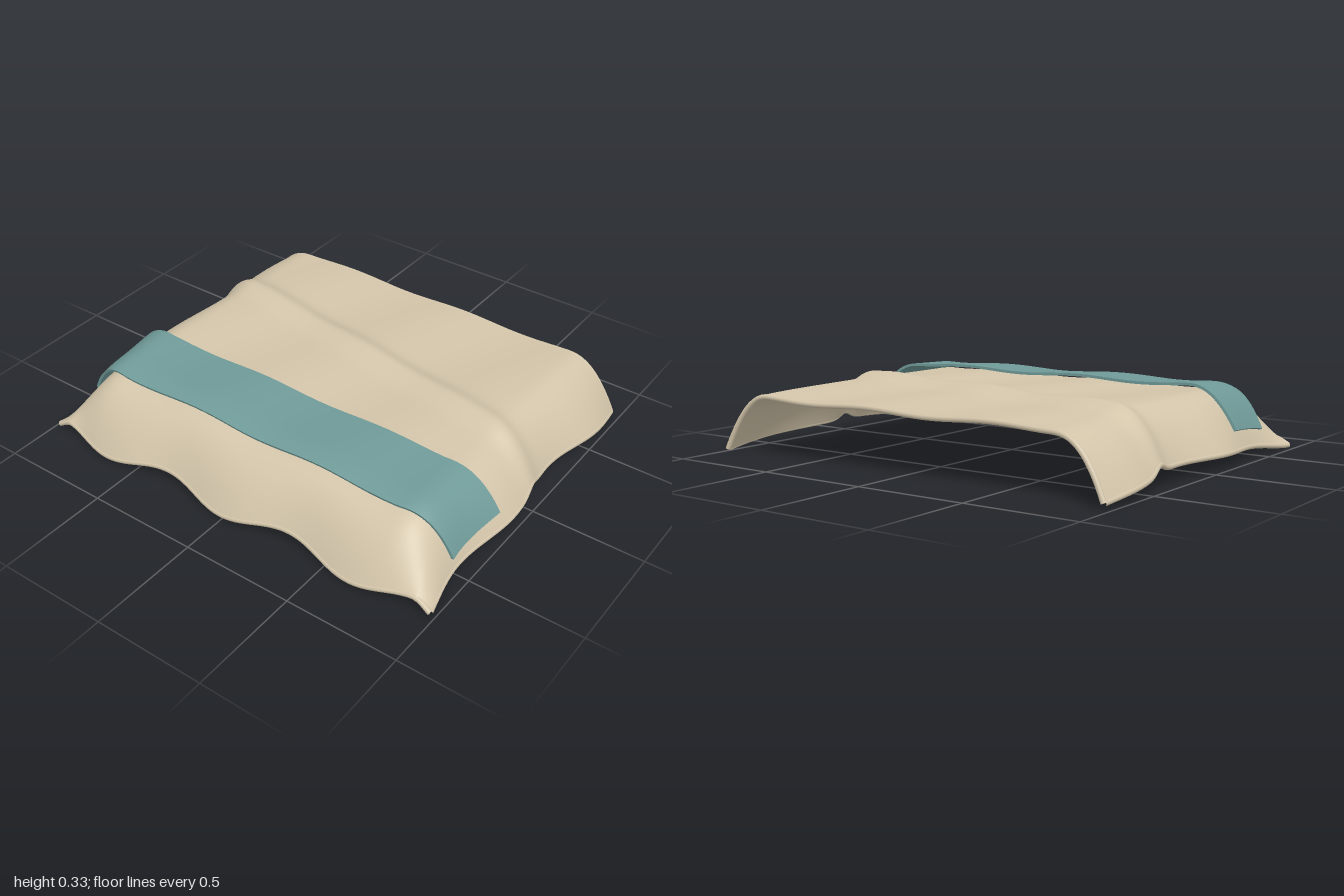
import * as THREE from 'three';

const clamp01 = (t) => Math.min(1, Math.max(0, t));
const TAU = Math.PI * 2;
const BACK = -0.77, FRONT = 0.757;

// Draped cloth: u runs -1..1 across, z runs from back to front.
function drape(u, z) {
  const au = Math.abs(u);
  const a = Math.max(0, (au - 0.75) / 0.25);
  const f = Math.max(0, (z - 0.42) / (FRONT - 0.42));
  const b = clamp01((-0.6 - z) / 0.17);
  const sideFall = 1 - Math.pow(a, 2.4);
  const frontFall = 1 - Math.pow(f, 2.8);

  // wavy side, front and back outlines
  const x = u * 0.955 + Math.sign(u) * au ** 6 * (0.01 + 0.022 * Math.cos((z + 0.6) * TAU / 0.72));
  const zz = z + 0.024 * f * f * Math.cos(TAU * x / 0.64) - 0.025 * a * a * b;

  // soft waves and the diagonal fold on the top
  const d = z - (-0.22 + 0.17 * x);
  const fold = 0.03 * Math.exp(-((d / 0.06) ** 2));
  const wave = 0.006 * Math.cos(TAU * (x + 0.2 + 0.35 * (z - 0.3)) / 0.62);
  const top = 0.28 + wave + fold - 0.018 * clamp01((-0.2 - z) / 0.57);

  // height of the hanging edges
  const k = (z + 0.15) / (z < -0.15 ? 0.65 : 0.9);
  const sideBase = 0.07 - 0.055 * k * k + fold;
  const frontBase = 0.022 + (0.014 - 0.022 * Math.cos(TAU * (x + 0.03) / 0.64)) * clamp01(sideFall * 2);
  const w = clamp01(frontFall);
  const base = frontBase + (sideBase - frontBase) * w;
  return new THREE.Vector3(x, base + (top - base) * sideFall * frontFall, zz);
}

// Point on the drape pushed out along its normal.
function lifted(u, z, offset) {
  const e = 0.004;
  const du = drape(u + e, z).sub(drape(u - e, z));
  const dz = drape(u, z + e).sub(drape(u, z - e));
  return drape(u, z).addScaledVector(dz.cross(du).normalize(), offset);
}

// Closed sheet from point(s, t, side), side 1 = outer face, 0 = inner face.
function sheet(point, nx, nz) {
  const pos = [], index = [];
  const patch = (fn, cols, rows) => {
    const start = pos.length / 3;
    for (let j = 0; j <= rows; j++)
      for (let i = 0; i <= cols; i++) pos.push(...fn(i / cols, j / rows).toArray());
    for (let j = 0; j < rows; j++)
      for (let i = 0; i < cols; i++) {
        const p = start + j * (cols + 1) + i, q = p + cols + 1;
        index.push(p, q, p + 1, p + 1, q, q + 1);
      }
  };
  patch((s, t) => point(s, t, 1), nx, nz);
  patch((s, t) => point(1 - s, t, 0), nx, nz);
  patch((s, t) => point(s, 1, 1 - t), nx, 1);
  patch((s, t) => point(1 - s, 0, 1 - t), nx, 1);
  patch((s, t) => point(1, 1 - s, 1 - t), nz, 1);
  patch((s, t) => point(0, s, 1 - t), nz, 1);
  const geo = new THREE.BufferGeometry();
  geo.setAttribute('position', new THREE.Float32BufferAttribute(pos, 3));
  geo.setIndex(index);
  geo.computeVertexNormals();
  return geo;
}

export function createModel() {
  const cloth = new THREE.MeshStandardMaterial({ color: 0xd3c5aa });
  cloth.name = 'beige cloth';
  const teal = new THREE.MeshStandardMaterial({ color: 0x6f9a98 });
  teal.name = 'teal cloth';
  const group = new THREE.Group();
  group.name = 'blanket';
  const add = (geo, material, name) => {
    const mesh = new THREE.Mesh(geo, material);
    mesh.name = name;
    group.add(mesh);
  };
  // denser columns towards the hanging sides
  const spread = (s) => Math.sin((s * 2 - 1) * 1.35) / Math.sin(1.35);
  const along = (t) => BACK + (FRONT - BACK) * t;

  // blanket body
  add(sheet((s, t, side) => lifted(spread(s), along(t), side ? 0 : -0.02), 100, 90), cloth, 'blanketBody');

  // rolled hems on the four edges
  const hems = {
    frontHem: (t) => [spread(t), FRONT],
    backHem: (t) => [spread(t), BACK],
    leftHem: (t) => [1, along(t)],
    rightHem: (t) => [-1, along(t)],
  };
  for (const [name, at] of Object.entries(hems)) {
    const points = [];
    for (let i = 0; i <= 48; i++) points.push(lifted(...at(i / 48), -0.009));
    add(new THREE.TubeGeometry(new THREE.CatmullRomCurve3(points), 96, 0.012, 8), cloth, name);
  }

  // coloured band laid across, lifting a little at its back edge
  const band = (s, t, side) => {
    const u = spread(s) * 0.975;
    const a = Math.max(0, (Math.abs(u) - 0.75) / 0.25);
    const p = lifted(u, 0.24 + 0.31 * t, 0.02 + (side ? 0.006 : -0.006));
    p.z -= 0.022 * a;
    p.y += 0.012 * (1 - t) + 0.012 * a;
    return p;
  };
  add(sheet(band, 100, 24), teal, 'band');

  // rest on the ground, centred
  const box = new THREE.Box3().setFromObject(group);
  const c = box.getCenter(new THREE.Vector3());
  for (const mesh of group.children) mesh.geometry.translate(-c.x, -box.min.y, -c.z);
  return group;
}
